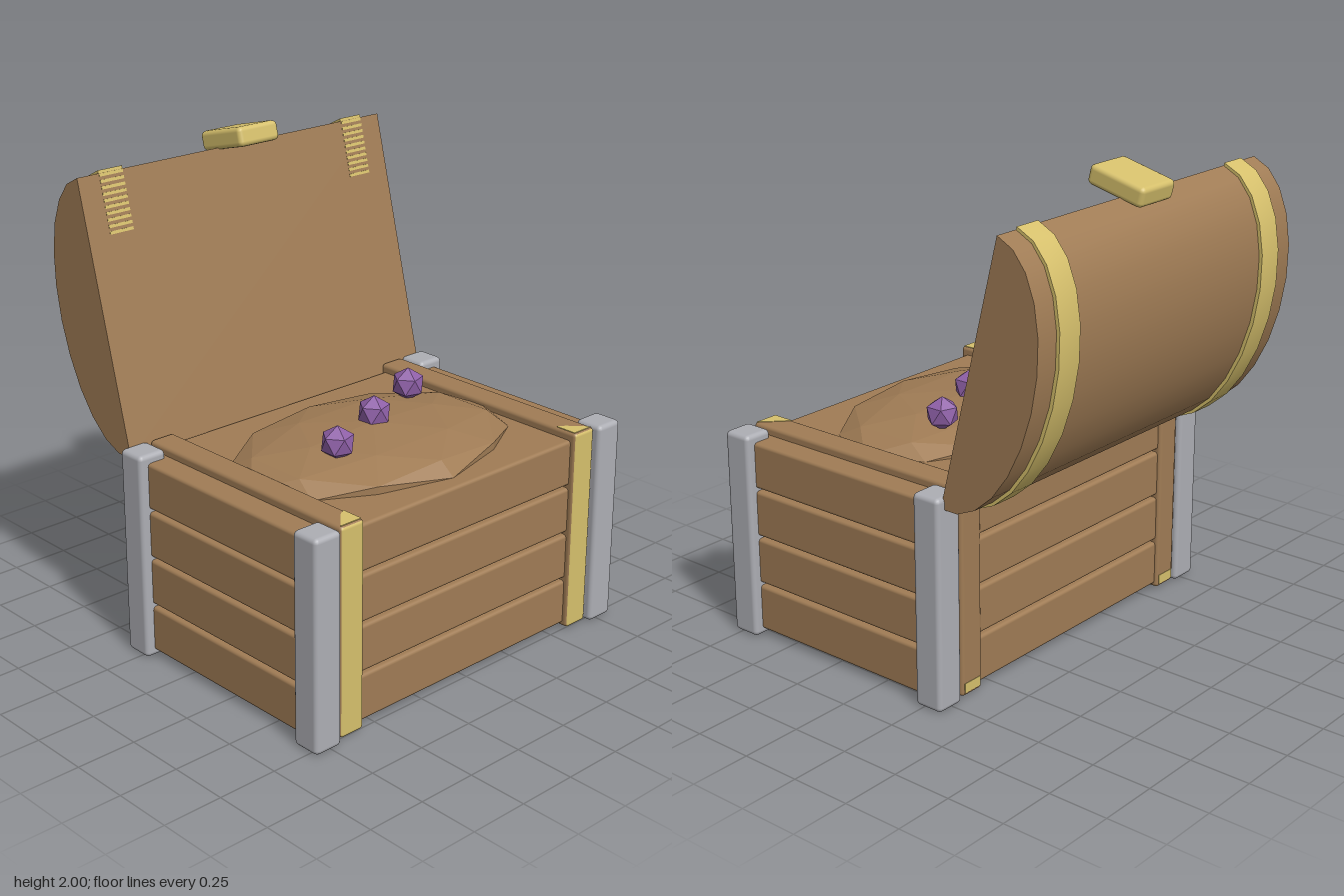
import * as THREE from 'three';
import { RoundedBoxGeometry } from 'three/addons/geometries/RoundedBoxGeometry.js';
import { toCreasedNormals } from 'three/addons/utils/BufferGeometryUtils.js';

const material = (name, color, extra = {}) => {
  const m = new THREE.MeshStandardMaterial({ color, ...extra });
  m.name = name;
  return m;
};

export function createModel() {
  const wood = material('wood', 0xa07c55);
  const mound = material('mound wood', 0xa07c55, { flatShading: true });
  const gold = material('gold', 0xd6c06c);
  const silver = material('silver', 0xadaeb4);
  const purple = material('purple gem', 0x8f60a8, { flatShading: true });

  const model = new THREE.Group();
  model.name = 'openChest';

  const add = (parent, name, geometry, mat, x = 0, y = 0, z = 0) => {
    const mesh = new THREE.Mesh(geometry, mat);
    mesh.name = name;
    mesh.position.set(x, y, z);
    parent.add(mesh);
    return mesh;
  };
  const rounded = (w, h, d, r = 0.014) => new RoundedBoxGeometry(w, h, d, 2, r);

  // Body: four stacked planks with narrow gaps
  for (let i = 0; i < 4; i++) {
    add(model, 'plankLayer', rounded(1.58, 0.193, 1.06), wood, 0, 0.122 + i * 0.2055, 0.215);
  }

  // Thin triangle of gold lying in the xz plane
  const cornerPatch = (name, side, y, zEdge, zTip, up) => {
    const shape = new THREE.Shape();
    shape.moveTo(-0.05, zEdge);
    shape.lineTo(0.05, zEdge);
    shape.lineTo(0.05, zTip);
    shape.lineTo(0.02, zTip + (zEdge - zTip) * 0.2);
    shape.closePath();
    const geo = new THREE.ExtrudeGeometry(shape, { depth: 0.003, bevelEnabled: false });
    geo.rotateX(Math.PI / 2);
    if (side > 0) geo.rotateZ(Math.PI).translate(0, -0.003, 0);
    add(model, name, geo, gold, side * 0.632, y + (up ? 0.002 : 0), 0);
  };

  for (const side of [-1, 1]) {
    // Straps: gold on the front and underside, wood elsewhere
    add(model, 'bodyStrap', rounded(0.115, 0.86, 1.1, 0.016),
      [wood, wood, wood, gold, gold, wood], side * 0.632, 0.44, 0.22);
    cornerPatch('strapTopPatch', side, 0.87, 0.758, 0.665, true);
    // Small gold foot at the back of the strap
    add(model, 'strapBackPatch', new THREE.BoxGeometry(0.09, 0.04, 0.004), gold,
      side * 0.632, 0.045, -0.33);
    // Corner posts
    for (const z of [0.725, -0.275]) {
      add(model, 'cornerPost', rounded(0.127, 0.87, 0.127, 0.02), silver, side * 0.765, 0.435, z);
    }
  }

  // Low faceted heap inside the chest
  const heap = add(model, 'heap', new THREE.IcosahedronGeometry(1, 1), mound, -0.025, 0.835, 0.24);
  heap.scale.set(0.63, 0.1, 0.44);

  // Gems, each standing on a vertex
  for (const [x, z] of [[-0.317, 0.35], [0, 0.22], [0.317, 0.09]]) {
    const gem = new THREE.IcosahedronGeometry(0.07, 0);
    gem.rotateZ(Math.atan(2 / (1 + Math.sqrt(5))));
    add(model, 'gem', gem, purple, x, 0.962, z);
  }

  // Lid: half-ellipse extruded across the chest, tipped back
  const lid = new THREE.Group();
  lid.name = 'lid';
  lid.position.set(0, 1.357, -0.455);
  lid.rotation.x = -0.247;
  model.add(lid);

  const arch = (halfChord, depth, width) => {
    const points = [];
    for (let i = 0; i <= 12; i++) {
      const a = -Math.PI / 2 + (Math.PI * i) / 12;
      points.push(new THREE.Vector2(depth * Math.cos(a), halfChord * Math.sin(a)));
    }
    const geo = new THREE.ExtrudeGeometry(new THREE.Shape(points), { depth: width, bevelEnabled: false });
    geo.translate(0, 0, -width / 2).rotateY(Math.PI / 2);
    return toCreasedNormals(geo, 0.8);
  };

  add(lid, 'lidShell', arch(0.552, 0.295, 1.58), wood);
  for (const side of [-1, 1]) {
    add(lid, 'lidStrap', arch(0.564, 0.309, 0.115), gold, side * 0.632, 0, -0.001);
    // Gold slats showing on the inner face
    for (let i = 0; i < 10; i++) {
      add(lid, 'innerSlat', new THREE.BoxGeometry(0.112, 0.012, 0.004), gold,
        side * 0.632, 0.32 + i * 0.025, 0);
    }
  }

  // Clasp on the lid's front edge
  add(lid, 'clasp', rounded(0.205, 0.08, 0.255, 0.02), gold, 0, 0.584, 0.03);

  return model;
}
